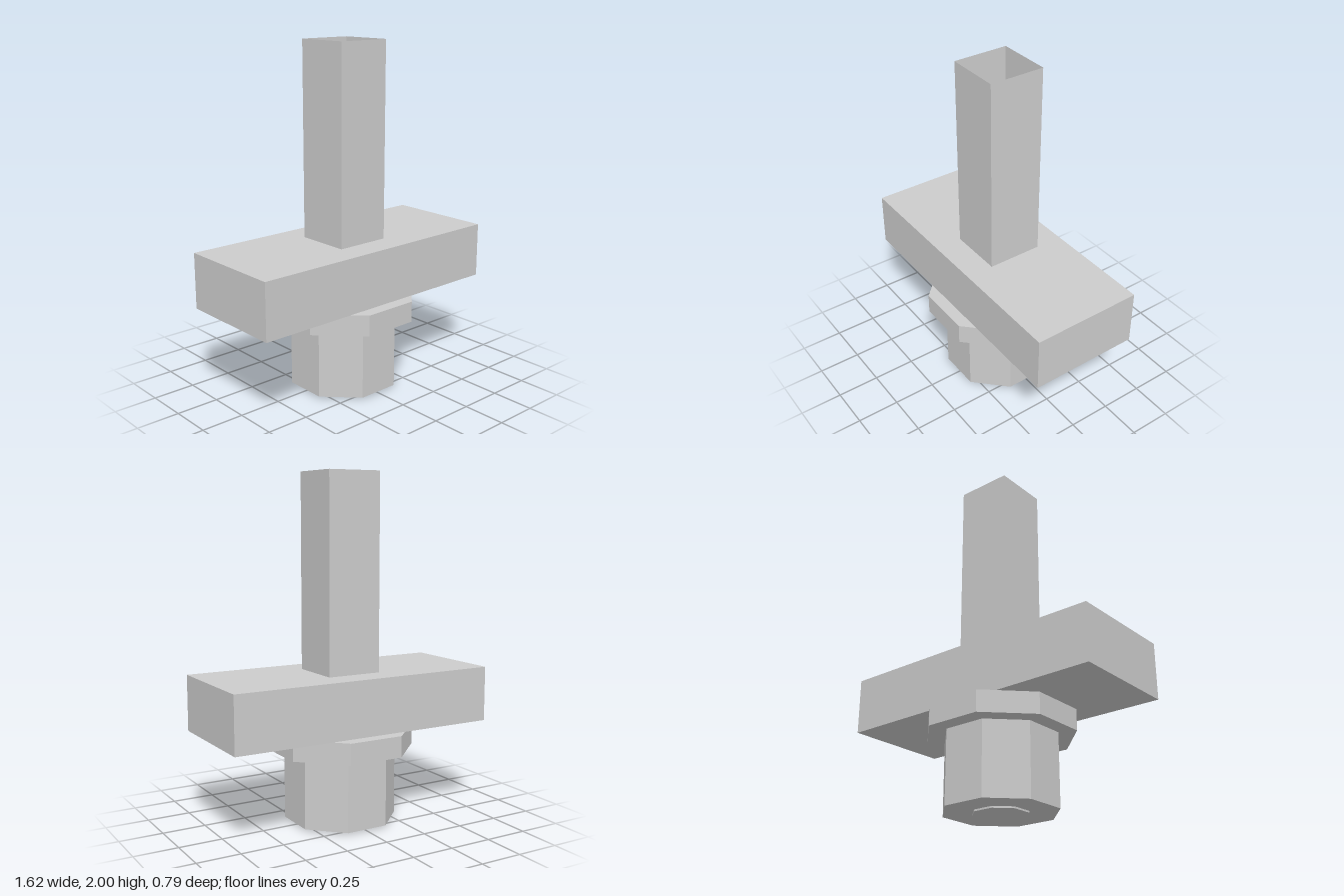
import * as THREE from 'three';

export function createModel() {
  const model = new THREE.Group();
  const grey = new THREE.MeshStandardMaterial({ color: 0xcccccc, flatShading: true, side: THREE.DoubleSide });
  grey.name = 'grey metal';

  const add = (name, geometry, y) => {
    const mesh = new THREE.Mesh(geometry, grey);
    mesh.name = name;
    mesh.position.y = y;
    model.add(mesh);
  };

  // Regular prism with flat sides facing the axes, sized by its half width across flats
  const prism = (name, sides, halfWidth, y0, y1, open = false) => {
    const radius = halfWidth / Math.cos(Math.PI / sides);
    const geometry = new THREE.CylinderGeometry(radius, radius, y1 - y0, sides, 1, open, Math.PI / sides);
    add(name, geometry, (y0 + y1) / 2);
  };

  // Octagonal base, from the small foot up to the collar
  prism('foot', 8, 0.145, 0, 0.012);
  prism('base', 8, 0.3, 0.01, 0.425);
  prism('collar', 8, 0.395, 0.425, 0.547);

  // Wide crossbar block
  add('crossbar', new THREE.BoxGeometry(1.616, 0.323, 0.646), 0.708);

  // Thin-walled square tube, open at the top
  prism('squareTube', 4, 0.162, 0.869, 2, true);

  return model;
}
